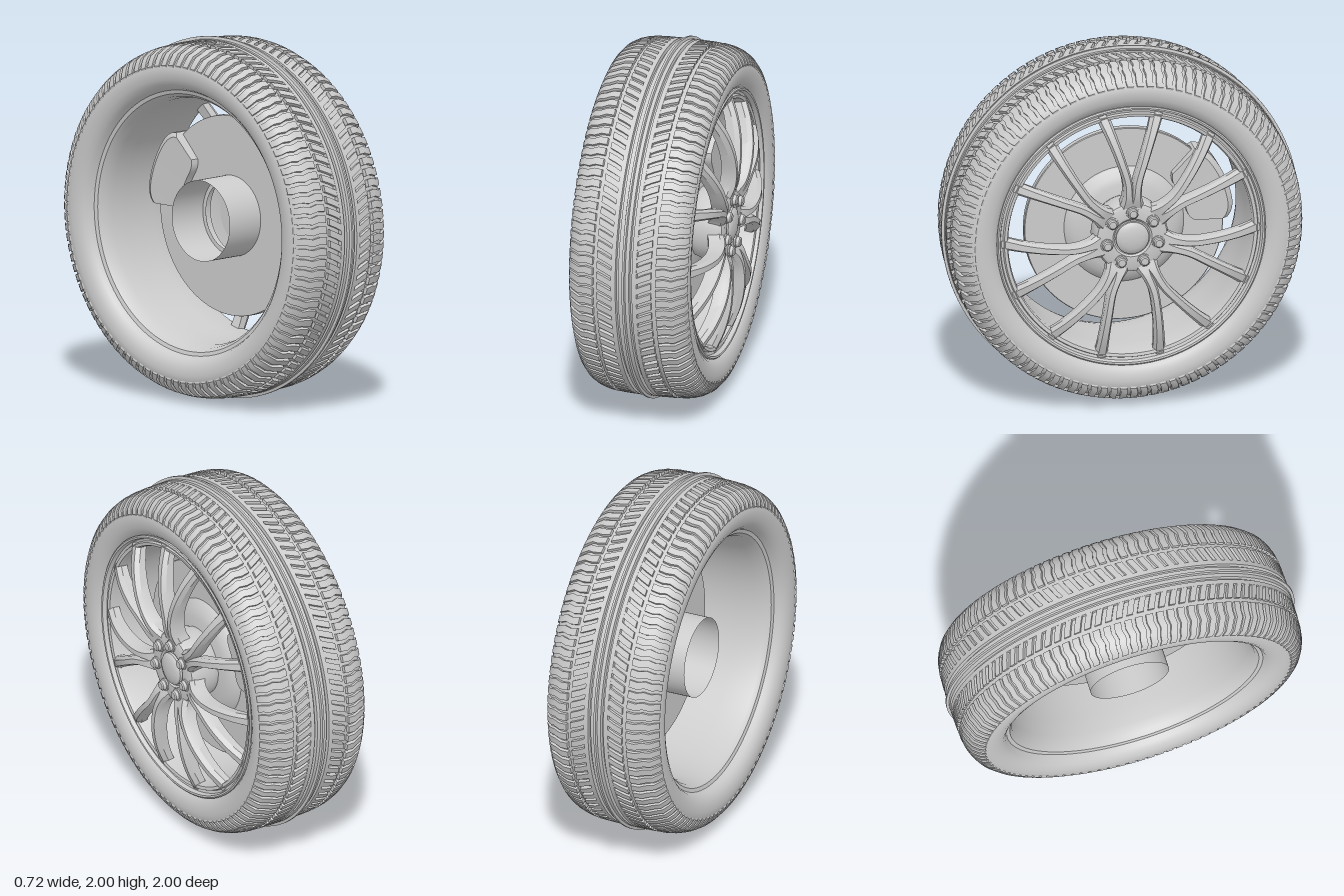
import * as THREE from 'three';
import { mergeGeometries, toCreasedNormals } from 'three/addons/utils/BufferGeometryUtils.js';

const grey = new THREE.MeshStandardMaterial({ color: 0xcccccc });
const greyBoth = new THREE.MeshStandardMaterial({ color: 0xcccccc, side: THREE.DoubleSide });
const MID = -0.02; // tyre centre along the axle

// Work frame: z is the axle (outer face +z), y is up.
const polar = (r, a, z) => new THREE.Vector3(r * Math.cos(a), r * Math.sin(a), z);

function add(parent, name, geometry, material = grey) {
  const mesh = new THREE.Mesh(geometry, material);
  mesh.name = name;
  parent.add(mesh);
  return mesh;
}

// Revolve [radius, z] points around the axle
function revolve(points, segments = 96, crease = 0.6) {
  const g = new THREE.LatheGeometry(points.map(p => new THREE.Vector2(p[0], p[1])), segments);
  return toCreasedNormals(g.rotateX(Math.PI / 2), crease);
}

// Skin closed loops (even point count) and cap both ends
function skin(loops) {
  const n = loops[0].length, last = (loops.length - 1) * n, index = [];
  for (let i = 0; i < loops.length - 1; i++) {
    for (let j = 0; j < n; j++) {
      const a = i * n + j, b = i * n + (j + 1) % n;
      index.push(a, b, b + n, a, b + n, a + n);
    }
  }
  for (let j = 0; j < n / 2 - 1; j++) {
    const [a, b, c, d] = [j, j + 1, n - 2 - j, n - 1 - j];
    index.push(a, c, b, a, d, c);
    index.push(last + a, last + b, last + c, last + a, last + c, last + d);
  }
  const g = new THREE.BufferGeometry().setFromPoints(loops.flat());
  g.setIndex(index);
  return g;
}

// One ring of tread blocks; profile rows are [offset from centre, outer radius, skew angle]
function treadRow(profile, side, count, fill, depth) {
  const blocks = [];
  const outer = side > 0 ? [...profile].reverse() : profile;
  const inner = [...outer].reverse();
  for (let k = 0; k < count; k++) {
    const start = (k + (side > 0 ? 0 : 0.5)) / count * Math.PI * 2;
    const loops = [0, fill / count * Math.PI * 2].map(da => [
      ...outer.map(([u, r, s]) => polar(r, start + da + s, MID + side * u)),
      ...inner.map(([u, r, s]) => polar(r - depth, start + da + s, MID + side * (u - depth * u * 0.8))),
    ]);
    blocks.push(skin(loops));
  }
  return toCreasedNormals(mergeGeometries(blocks), 0.5);
}

function buildTyre() {
  const tyre = new THREE.Group();
  tyre.name = 'tyre';
  // half section from the centre rib to the bead: [offset, radius]
  const half = [
    [0.006, 1.0], [0.01, 0.985], [0.03, 0.985], [0.032, 0.962], [0.045, 0.962], [0.047, 0.985],
    [0.072, 0.985], [0.074, 0.965], [0.18, 0.962], [0.25, 0.95], [0.295, 0.925], [0.322, 0.9],
    [0.336, 0.872], [0.34, 0.84], [0.334, 0.8], [0.32, 0.77], [0.3, 0.75], [0.27, 0.735],
  ];
  const section = [
    ...[...half].reverse().map(([u, r]) => [r, MID - u]),
    ...half.map(([u, r]) => [r, MID + u]),
  ];
  add(tyre, 'carcass', revolve(section, 144), greyBoth);
  const innerRow = [[0.068, 0.984, 0], [0.11, 0.984, -0.022], [0.155, 0.982, -0.042]];
  const shoulder = [
    [0.18, 0.981, 0], [0.225, 0.974, -0.006], [0.265, 0.961, 0.004],
    [0.3, 0.941, -0.006], [0.326, 0.912, -0.004], [0.339, 0.88, -0.012],
  ];
  for (const side of [1, -1]) {
    add(tyre, 'innerTread', treadRow(innerRow, side, 100, 0.6, 0.03));
    add(tyre, 'shoulderTread', treadRow(shoulder, side, 100, 0.66, 0.03));
  }
  return tyre;
}

// One arm of a forked spoke pointing along +y; side chooses the branch
function spokeArm(side) {
  // [radius, sideways, front z, half width]
  const stations = [
    [0.165, 0.022, 0.322, 0.05], [0.24, 0.023, 0.35, 0.03], [0.33, 0.03, 0.36, 0.026],
    [0.45, 0.065, 0.357, 0.026], [0.58, 0.11, 0.327, 0.029], [0.705, 0.158, 0.272, 0.035],
  ];
  const path = new THREE.CatmullRomCurve3(stations.map(([r, x, z]) => new THREE.Vector3(x * side, r, z)));
  const widths = new THREE.SplineCurve(stations.map((s, i) => new THREE.Vector2(i, s[3])));
  const loops = [];
  const steps = 24;
  for (let i = 0; i <= steps; i++) {
    const t = i / steps, p = path.getPoint(t), w = widths.getPoint(t).y, d = 0.1 - 0.035 * t;
    const ring = [[-0.55, 0], [0.55, 0], [1, -0.028], [0.85, -d], [-0.85, -d], [-1, -0.028]];
    // slices lean with the branch so the width stays square to it
    const lean = side * 0.33 * Math.min(1, t * 1.5);
    loops.push(ring.map(([x, z]) => new THREE.Vector3(p.x + x * w, p.y - x * w * lean, p.z + z)));
  }
  return skin(loops);
}

function buildRim() {
  const rim = new THREE.Group();
  rim.name = 'rim';
  add(rim, 'barrel', revolve([
    [0.75, 0.26], [0.752, 0.292], [0.745, 0.298], [0.735, 0.296], [0.728, 0.272], [0.714, 0.268],
    [0.708, 0.282], [0.69, 0.278], [0.682, 0.255], [0.68, 0.1], [0.68, -0.1], [0.684, -0.2],
    [0.697, -0.26], [0.715, -0.285], [0.737, -0.292],
  ], 128), greyBoth);
  add(rim, 'hub', revolve([
    [0, 0.14], [0.19, 0.14], [0.205, 0.18], [0.205, 0.29], [0.195, 0.315], [0.175, 0.325],
    [0.11, 0.322], [0.1, 0.312], [0, 0.312],
  ], 64));
  add(rim, 'centreCap', revolve([
    [0.092, 0.3], [0.092, 0.326], [0.085, 0.334], [0.06, 0.343], [0.03, 0.348], [0, 0.349],
  ], 48));

  const arms = toCreasedNormals(mergeGeometries([spokeArm(1), spokeArm(-1)]), 0.5);
  const nutShape = revolve([
    [0.036, 0.315], [0.036, 0.331], [0.029, 0.333], [0.027, 0.35], [0.02, 0.356], [0, 0.357],
  ], 16);
  for (let k = 0; k < 7; k++) {
    const turn = k / 7 * Math.PI * 2;
    add(rim, 'forkedSpoke', arms).rotation.z = turn;
    const nut = add(rim, 'lugNut', nutShape);
    nut.position.copy(polar(0.147, turn + Math.PI / 2, 0));
  }
  return rim;
}

function buildBrake() {
  const brake = new THREE.Group();
  brake.name = 'brake';
  // disc with raised hat
  add(brake, 'disc', revolve([
    [0.2, 0.04], [0.555, 0.04], [0.557, 0.045], [0.557, 0.08], [0.553, 0.085], [0.335, 0.085],
    [0.325, 0.1], [0.29, 0.125], [0.25, 0.14], [0, 0.145],
  ], 96), greyBoth);
  // open sleeve towards the inner side
  add(brake, 'axleSleeve', revolve([[0.225, -0.2], [0.225, 0.1]], 64), greyBoth);
  // caliper hugging the disc, narrowed at both ends
  const loops = [];
  for (let i = 0; i <= 20; i++) {
    const t = i / 20, a = (1 + 46 * t) * Math.PI / 180;
    const e = 1 - Math.pow(Math.abs(2 * t - 1), 6) * 0.3;
    const mid = 0.48, h = 0.132 * e;
    loops.push([
      [mid - h, 0.13], [mid + h - 0.03, 0.14], [mid + h, 0.115],
      [mid + h, 0.0], [mid + h - 0.03, -0.02], [mid - h, -0.01],
    ].map(([r, z]) => polar(r, a, z)));
  }
  add(brake, 'caliper', toCreasedNormals(skin(loops), 0.5));
  return brake;
}

export function createModel() {
  const wheel = new THREE.Group();
  wheel.name = 'wheel';
  wheel.add(buildTyre(), buildRim(), buildBrake());
  wheel.rotation.y = Math.PI / 2; // outer face towards +x
  wheel.position.y = 1;
  const model = new THREE.Group();
  model.name = 'carWheel';
  model.add(wheel);
  return model;
}
